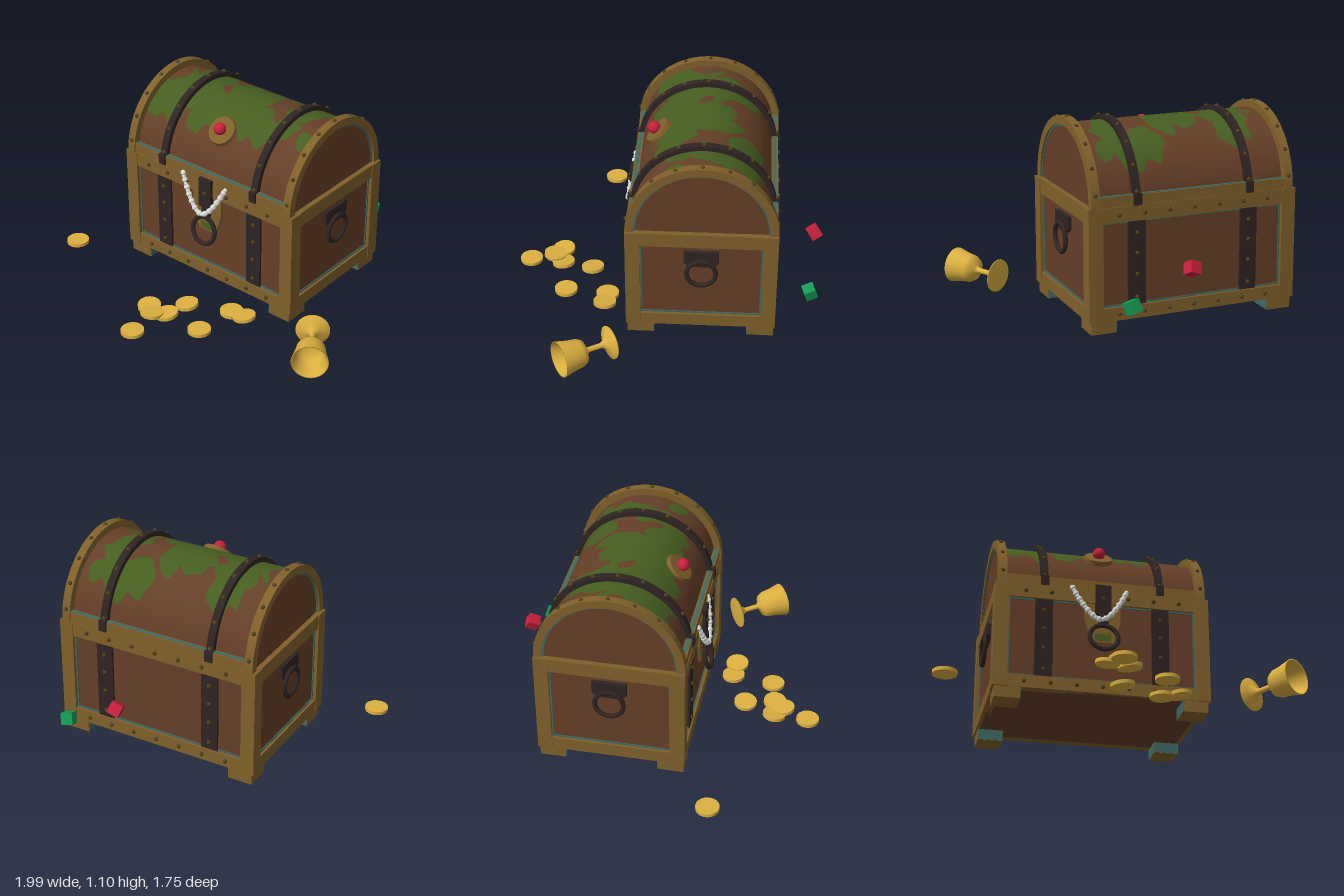
import * as THREE from 'three';

const mat = (name, color) => {
  const m = new THREE.MeshStandardMaterial({ color });
  m.name = name;
  return m;
};

export function createModel() {
  const wood = mat('brown wood', 0x653f27), trim = mat('bronze trim', 0x80602a), iron = mat('dark iron', 0x2e2422);
  const teal = mat('teal patina', 0x3f6a64), moss = mat('green moss', 0x465e20), stud = mat('dark bronze stud', 0x50401c);
  const gold = mat('gold', 0xdcb040), red = mat('red gem', 0xc8203c), green = mat('green gem', 0x129a52);
  const pearl = mat('pearl', 0xdcdcda);
  gold.side = THREE.DoubleSide;

  const root = new THREE.Group();
  const chest = new THREE.Group();
  chest.name = 'chest';
  chest.position.set(-0.07, 0, -0.215);
  root.add(chest);

  const add = (parent, name, geo, material, x = 0, y = 0, z = 0) => {
    const m = new THREE.Mesh(geo, material);
    m.name = name;
    m.position.set(x, y, z);
    parent.add(m);
    return m;
  };
  // box given by its minimum and maximum corners
  const box = (name, material, x0, x1, y0, y1, z0, z1) =>
    add(chest, name, new THREE.BoxGeometry(x1 - x0, y1 - y0, z1 - z0), material, (x0 + x1) / 2, (y0 + y1) / 2, (z0 + z1) / 2);
  const studGeo = new THREE.SphereGeometry(0.012, 10, 6);
  const addStud = (x, y, z) => add(chest, 'stud', studGeo, stud, x, y, z);

  // Body: panels, corner posts, rails, feet
  const HX = 0.6, HZ = 0.41, PX = 0.575, PZ = 0.385, Y0 = 0.075, Y1 = 0.69, LIP = 0.08;
  box('body', wood, -PX, PX, Y0, Y1 - 0.002, -PZ, PZ);
  for (const sx of [-1, 1]) for (const sz of [-1, 1]) {
    const cx = sx * (HX - LIP / 2), cz = sz * (HZ - LIP / 2);
    add(chest, 'cornerPost', new THREE.BoxGeometry(LIP, Y1 - Y0, LIP), trim, cx, (Y0 + Y1) / 2, cz);
    const fx = sx * 0.516, fz = sz * 0.33;
    add(chest, 'foot', new THREE.BoxGeometry(0.14, 0.065, 0.145), trim, fx, 0.0435, fz);
    add(chest, 'footPatina', new THREE.BoxGeometry(0.004, 0.06, 0.14), teal, fx - sx * 0.071, 0.043, fz);
    add(chest, 'footPatina', new THREE.BoxGeometry(0.135, 0.06, 0.004), teal, fx, 0.043, fz - sz * 0.0735);
  }
  const inlay = (w, h) => {
    const rect = (P, a, b) => new P([[-a, -b], [a, -b], [a, b], [-a, b]].map(p => new THREE.Vector2(...p)));
    const s = rect(THREE.Shape, w / 2, h / 2);
    s.holes.push(rect(THREE.Path, w / 2 - 0.009, h / 2 - 0.009));
    return new THREE.ExtrudeGeometry(s, { depth: 0.006, bevelEnabled: false });
  };
  const rails = [[Y0, 0.148], [0.607, Y1]];
  for (const s of [-1, 1]) {
    const span = (a, b) => [Math.min(s * a, s * b), Math.max(s * a, s * b)];
    for (const [a, b] of rails) {
      box('longRail', trim, -HX + LIP, HX - LIP, a, b, ...span(PZ - 0.03, HZ - 0.004));
      box('sideRail', trim, ...span(PX - 0.03, HX - 0.004), a, b, -HZ + LIP, HZ - LIP);
      for (let i = -3; i <= 3; i++) addStud(i * 0.143, (a + b) / 2, s * (HZ - 0.002));
    }
    // patina lines round the panels
    const turn = s > 0 ? 0 : Math.PI;
    add(chest, 'longInlay', inlay(2 * (HX - LIP), 0.459), teal, 0, 0.3775, s * PZ).rotation.y = turn;
    add(chest, 'sideInlay', inlay(2 * (HZ - LIP), 0.459), teal, s * PX, 0.3775, 0).rotation.y = s * Math.PI / 2;
    // iron straps on front and back
    for (const x of [-0.325, 0.325]) {
      box('bodyStrap', iron, x - 0.049, x + 0.049, 0.148, 0.607, ...span(PZ - 0.01, PZ + 0.012));
      for (const y of [0.19, 0.315, 0.43, 0.54]) addStud(x, y, s * (PZ + 0.014));
    }
    // side handles
    const plate = new THREE.Shape([[-0.095, 0.095], [0.095, 0.095], [0.095, 0.025], [0.06, 0], [-0.06, 0], [-0.095, 0.025]]
      .map(p => new THREE.Vector2(...p)));
    add(chest, 'handlePlate', new THREE.ExtrudeGeometry(plate, { depth: 0.022, bevelEnabled: false }), iron, s * PX, 0.48, 0)
      .rotation.y = s * Math.PI / 2;
    add(chest, 'handleRing', new THREE.TorusGeometry(0.079, 0.013, 10, 32), iron, s * 0.604, 0.442, 0).rotation.y = Math.PI / 2;
  }

  // Lid: half-round shell with moss patches
  const R = 0.37;
  const patches = [[-0.55, -0.02, 0.1], [-0.45, 0, 0.1], [-0.38, -0.42, 0.1], [-0.4, -0.27, 0.13], [-0.38, -0.12, 0.15],
    [-0.25, -0.03, 0.11], [-0.14, -0.08, 0.1], [-0.13, -0.27, 0.1], [-0.03, -0.2, 0.1], [0, -0.33, 0.08],
    [0.13, -0.44, 0.09], [0.25, -0.46, 0.09], [0.31, -0.34, 0.09], [0.28, -0.21, 0.08], [0.08, -0.06, 0.1],
    [0.17, -0.02, 0.08], [0.26, -0.09, 0.08], [0.41, -0.05, 0.05], [-0.04, -0.05, 0.08], [0.37, -0.46, 0.05]];
  const isMoss = (x, z) => {
    const wob = 0.2 * Math.sin(31 * x + 9 * z) * Math.sin(27 * z - 11 * x) + 0.1 * Math.sin(63 * x - 40 * z);
    return patches.some(([px, pz, r]) => 1 - Math.hypot(x - px, z - pz) / r + wob > 0);
  };
  const NX = 120, NA = 120, shell = new THREE.PlaneGeometry(1.12, 1, NX, NA);
  const pos = shell.attributes.position, nor = shell.attributes.normal;
  for (let i = 0; i < pos.count; i++) {
    const a = (pos.getY(i) + 0.5) * Math.PI;
    pos.setXYZ(i, pos.getX(i), R * Math.sin(a), R * Math.cos(a));
    nor.setXYZ(i, 0, Math.sin(a), Math.cos(a));
  }
  const lists = [[], []], idx = shell.index.array;
  for (let i = 0; i < idx.length; i += 3) {
    let x = 0, z = 0;
    for (let k = 0; k < 3; k++) { x += pos.getX(idx[i + k]) / 3; z += pos.getZ(idx[i + k]) / 3; }
    lists[isMoss(x - 0.07, z - 0.215) ? 1 : 0].push(idx[i], idx[i + 1], idx[i + 2]);
  }
  shell.setIndex([...lists[0], ...lists[1]]);
  shell.addGroup(0, lists[0].length, 0);
  shell.addGroup(lists[0].length, lists[1].length, 1);
  add(chest, 'lidShell', shell, [wood, moss], 0, Y1, 0);

  // half ring (or half disc) standing across the chest
  const arch = (name, material, rOut, rIn, w, x) => {
    const s = new THREE.Shape();
    s.absarc(0, 0, rOut, 0, Math.PI, false);
    if (rIn) s.absarc(0, 0, rIn, Math.PI, 0, true);
    s.closePath();
    const g = new THREE.ExtrudeGeometry(s, { depth: w, bevelEnabled: false, curveSegments: 48 });
    g.translate(0, 0, -w / 2).rotateY(Math.PI / 2);
    return add(chest, name, g, material, x, Y1, 0);
  };
  for (const s of [-1, 1]) {
    arch('lidEndFrame', trim, 0.41, 0.365, 0.048, s * 0.559);
    arch('lidEndPanel', wood, 0.368, 0, 0.02, s * 0.557);
    arch('lidEndInlay', teal, 0.366, 0.355, 0.006, s * 0.569);
    arch('lidStrap', iron, 0.397, 0.36, 0.042, s * 0.325);
    for (let i = 0; i < 9; i++) {
      const a = Math.PI * (i + 0.5) / 9, c = Math.cos(a), n = Math.sin(a);
      addStud(s * 0.559, Y1 + 0.409 * n, 0.409 * c);
      addStud(s * 0.325, Y1 + 0.397 * n, 0.397 * c);
    }
    // lower lid rails, front and back
    const span = (a, b) => [Math.min(s * a, s * b), Math.max(s * a, s * b)];
    box('lidRail', trim, -0.537, 0.537, Y1, 0.745, ...span(0.34, 0.402));
    box('lidRailPatina', teal, -0.535, 0.535, 0.744, 0.748, ...span(0.375, 0.394));
    for (const x of [-0.325, 0.325]) box('strapEnd', iron, x - 0.022, x + 0.022, Y1, 0.752, ...span(0.38, 0.412));
  }

  // Gem boss on the lid front
  const boss = new THREE.Group();
  boss.name = 'gemBoss';
  boss.position.y = Y1;
  boss.rotation.x = Math.PI / 4;
  chest.add(boss);
  add(boss, 'bossDisc', new THREE.CylinderGeometry(0.08, 0.086, 0.035, 32), trim, 0, 0.37, 0);
  add(boss, 'bossGem', new THREE.SphereGeometry(0.035, 20, 14), red, 0, 0.407, 0);

  // Lock: shield, hasp, ring
  const shield = new THREE.Shape([[-0.1, 0.23], [0.1, 0.23], [0.1, 0.13], [0.06, 0], [-0.06, 0], [-0.1, 0.13]]
    .map(p => new THREE.Vector2(...p)));
  add(chest, 'lockShield', new THREE.ExtrudeGeometry(shield, { depth: 0.016, bevelEnabled: false }), trim, 0, 0.375, PZ);
  box('lockMoss', moss, -0.045, 0.045, 0.385, 0.425, PZ + 0.015, PZ + 0.019);
  box('hasp', iron, -0.043, 0.043, 0.535, 0.715, 0.39, 0.424);
  add(chest, 'haspKnuckle', new THREE.CylinderGeometry(0.025, 0.03, 0.06, 14), iron, 0, 0.51, 0.41);
  addStud(0, 0.63, 0.426);
  add(chest, 'lockRing', new THREE.TorusGeometry(0.079, 0.013, 10, 36), iron, 0, 0.393, 0.434).rotation.x = -0.2;

  // Pearl string draped over the lock
  const drape = new THREE.CatmullRomCurve3(Array.from({ length: 13 }, (_, i) => {
    const t = (i - 6) / 6;
    return new THREE.Vector3(-0.018 + 0.152 * t, 0.495 + 0.195 * Math.abs(t) ** 1.7, 0.438 - 0.035 * t * t);
  }));
  drape.getSpacedPoints(25).forEach((p, i) =>
    add(chest, 'pearl', new THREE.SphereGeometry(i % 2 ? 0.013 : 0.017, 12, 8), pearl, p.x, p.y, p.z));

  // Coins: x, y, z, tilt about x, tilt about z
  const coinGeo = new THREE.CylinderGeometry(0.065, 0.065, 0.02, 28);
  [[-0.936, 0.043, 0.37, 0, 0], [-0.016, 0.03, 0.433, 0.05, 0.12], [0.22, 0.028, 0.326, 0, 0], [0.316, 0.043, 0.333, 0, 0.15],
    [0.19, 0.025, 0.567, 0, 0], [-0.134, 0.065, 0.615, 0.1, -0.08], [-0.016, 0.06, 0.604, 0.08, 0.12],
    [-0.075, 0.07, 0.658, -0.1, 0], [-0.09, 0.02, 0.803, 0, 0]].forEach(([x, y, z, rx, rz]) =>
    add(root, 'coin', coinGeo, gold, x, y, z).rotation.set(rx, 0, rz));

  // Goblet lying on its side
  const cup = [[0, 0], [0.092, 0], [0.094, 0.008], [0.06, 0.022], [0.025, 0.04], [0.015, 0.06], [0.015, 0.14], [0.03, 0.155],
    [0.066, 0.168], [0.079, 0.195], [0.084, 0.24], [0.1, 0.312], [0.094, 0.312], [0.076, 0.24], [0.068, 0.195], [0.045, 0.178], [0, 0.172]];
  const goblet = add(root, 'goblet', new THREE.LatheGeometry(cup.map(p => new THREE.Vector2(...p)), 36), gold, 0.735, 0.108, 0.26);
  goblet.quaternion.setFromUnitVectors(new THREE.Vector3(0, 1, 0), new THREE.Vector3(0.558, 0.05, 0.83).normalize());

  // Loose cut gems behind the chest
  const gemGeo = new THREE.BoxGeometry(0.066, 0.066, 0.066);
  add(root, 'redGem', gemGeo, red, 0.043, 0.383, -0.835).rotation.set(0.5, 0.3, 0.25);
  add(root, 'greenGem', gemGeo, green, 0.368, 0.212, -0.813).rotation.set(0.35, 0.2, -0.25);
  return root;
}
